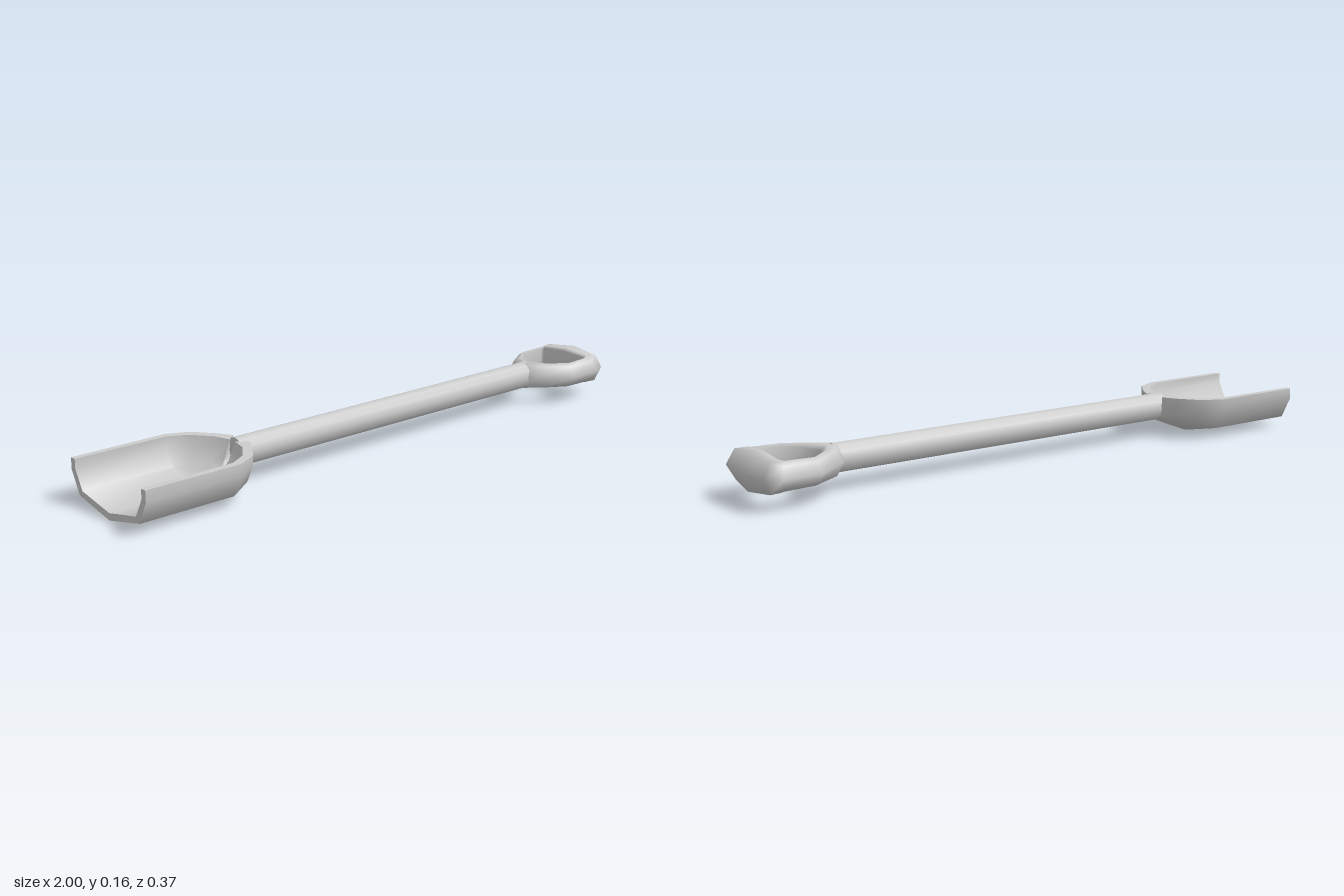
import * as THREE from 'three';
import { toCreasedNormals } from 'three/addons/utils/BufferGeometryUtils.js';

const grey = new THREE.MeshStandardMaterial({ color: 0xcccccc });
const AXIS_Y = 0.103;

// Skin a series of equal-length point rings; optionally join last ring to first,
// or close both ends by bridging point i to its opposite partner.
function loft(rings, { loop = false, caps = false } = {}) {
  const n = rings[0].length, index = [];
  for (let r = 0; r < (loop ? rings.length : rings.length - 1); r++) {
    const p = r * n, q = ((r + 1) % rings.length) * n;
    for (let k = 0; k < n; k++) {
      const m = (k + 1) % n;
      index.push(p + k, p + m, q + k, p + m, q + m, q + k);
    }
  }
  if (caps) {
    const e = (rings.length - 1) * n;
    for (let i = 0; i < n / 2 - 1; i++) {
      const a = i, b = i + 1, c = n - 1 - i, d = n - 2 - i;
      index.push(a, c, b, b, c, d);
      index.push(e + a, e + b, e + c, e + b, e + d, e + c);
    }
  }
  const g = new THREE.BufferGeometry();
  g.setAttribute('position', new THREE.Float32BufferAttribute(rings.flat(2), 3));
  g.setIndex(index);
  g.computeVertexNormals();
  return g;
}

// Scoop: a hollow trough, narrowing and rising to the socket
function makeBlade() {
  const top = 0.142;
  // z and y factors across the trough
  const half = [[1, 1], [1, 0.74], [0.81, 0.24], [0, 0]];
  const section = [...half, ...half.slice(0, 3).reverse().map(([z, y]) => [-z, y])];
  // [x, half width, lowest y] outside and inside
  const outer = [[-1, 0.187, 0.003], [-0.68, 0.187, 0.003], [-0.61, 0.152, 0.03],
    [-0.56, 0.085, 0.05], [-0.535, 0.04, 0.06]];
  const inner = [[-1, 0.167, 0.025], [-0.69, 0.163, 0.025], [-0.63, 0.13, 0.04],
    [-0.585, 0.07, 0.058], [-0.568, 0.012, 0.07]];
  const place = ([x, w, low], lean) => section.map(([z, y]) =>
    [x - lean * (1 - y), low + (top - low) * y, w * z]);
  const rings = outer.map((o, i) =>
    [...place(o, 0), ...place(inner[i], i > 1 ? 0.03 : 0).reverse()]);
  return toCreasedNormals(loft(rings, { caps: true }), 0.9);
}

// D-shaped handle: one closed loop of sections, fork -> arm -> grip -> arm
function makeHandle() {
  // inner x,z; outer x,z; half heights at inner edge and two crests; crest positions
  const half = [
    [0.745, 0, 0.66, 0, 0.03, 0.044, 0.044, 0.25, 0.7],
    [0.768, 0.055, 0.705, 0.063, 0.03, 0.044, 0.038, 0.2, 0.65],
    [0.822, 0.098, 0.815, 0.146, 0.034, 0.042, 0.032, 0.15, 0.45],
    [0.912, 0.099, 0.94, 0.147, 0.036, 0.044, 0.032, 0.12, 0.45],
    [0.92, 0.092, 0.99, 0.118, 0.042, 0.049, 0.046, 0.15, 0.65],
    [0.92, 0, 1, 0, 0.048, 0.058, 0.057, 0.15, 0.75],
  ];
  const mirrored = half.slice(1, -1).reverse().map((s) => s.map((v, i) => (i === 1 || i === 3 ? -v : v)));
  const rings = [...half, ...mirrored].map(([xi, zi, xo, zo, h0, h1, h2, t1, t2]) =>
    [[0, h0], [t1, h1], [t2, h2], [1, 0], [t2, -h2], [t1, -h1], [0, -h0]].map(([t, h]) =>
      [xi + (xo - xi) * t, AXIS_Y + h, zi + (zo - zi) * t]));
  return loft(rings, { loop: true });
}

// Straight oval shaft along x
function makeShaft() {
  const from = -0.56, to = 0.71;
  const g = new THREE.CylinderGeometry(1, 1, to - from, 12);
  g.rotateZ(-Math.PI / 2);
  g.scale(1, 0.046, 0.04);
  g.translate((from + to) / 2, AXIS_Y + 0.001, 0);
  return g;
}

export function createModel() {
  const group = new THREE.Group();
  group.name = 'shovel';
  const parts = { blade: makeBlade(), shaft: makeShaft(), handle: makeHandle() };
  for (const [name, geometry] of Object.entries(parts)) {
    const mesh = new THREE.Mesh(geometry, grey);
    mesh.name = name;
    group.add(mesh);
  }
  return group;
}
